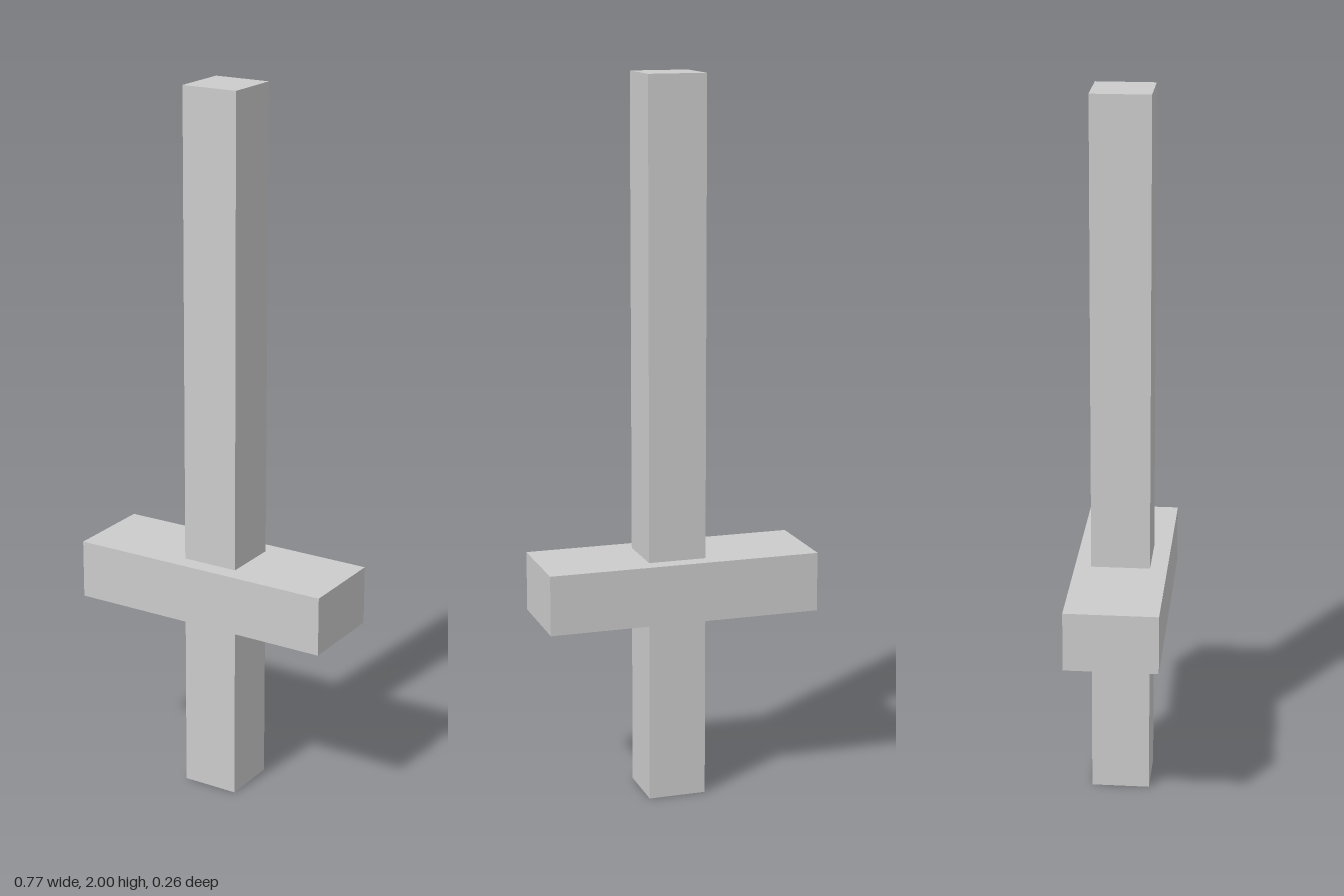
import * as THREE from 'three';

const material = new THREE.MeshStandardMaterial({ color: 0xcccccc, flatShading: true });

// Box given by its lowest and highest corners
function block(name, [x0, y0, z0], [x1, y1, z1]) {
  const mesh = new THREE.Mesh(new THREE.BoxGeometry(x1 - x0, y1 - y0, z1 - z0), material);
  mesh.position.set((x0 + x1) / 2, (y0 + y1) / 2, (z0 + z1) / 2);
  mesh.name = name;
  return mesh;
}

export function createModel() {
  const group = new THREE.Group();
  group.name = 'sword';
  // Square shaft forming blade and grip, set slightly off centre
  group.add(block('bladeAndGrip', [-0.07, 0, -0.083], [0.092, 2, 0.08]));
  // Wide crossguard around the shaft
  group.add(block('crossguard', [-0.383, 0.517, -0.128], [0.383, 0.683, 0.128]));
  return group;
}
